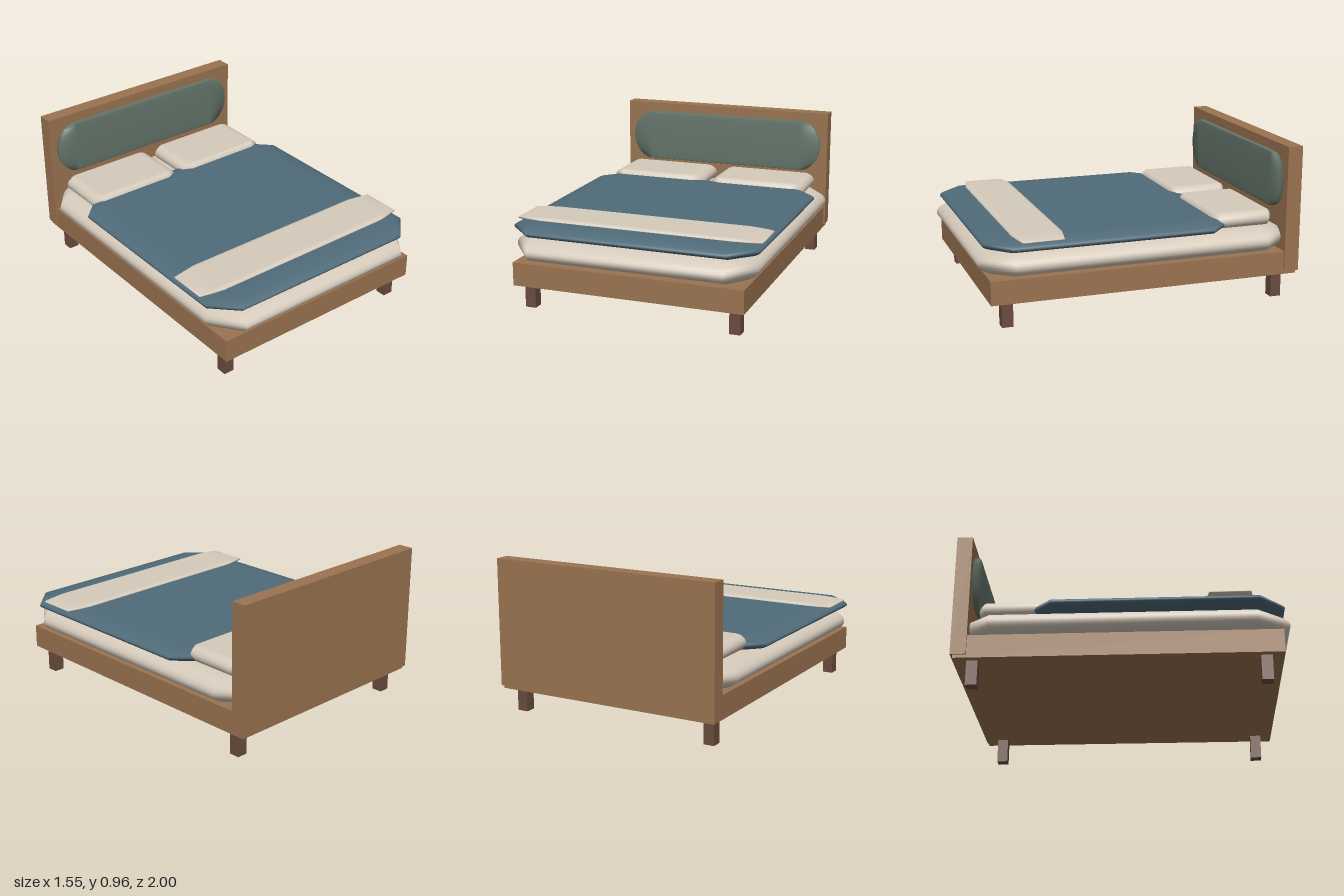
import * as THREE from 'three';
import { mergeVertices } from 'three/addons/utils/BufferGeometryUtils.js';

const mat = (name, color) => new THREE.MeshStandardMaterial({ name, color });

// Soft slab filling the given ranges: elliptical edge profile, chamfered plan corners
function cushionGeometry([x0, x1], [y0, y1], [z0, z1]) {
  const steps = 16, inset = 0.1, pos = [], idx = [];
  const signs = [[1, 1], [-1, 1], [-1, -1], [1, -1]];
  for (let i = 0; i <= steps; i++) {
    const t = (i / steps - 0.5) * Math.PI;
    const r = inset * Math.cos(t);
    signs.forEach(([sx, sz], q) => {
      for (let k = 0; k < 2; k++) {
        const a = (q + k) * Math.PI / 2;
        pos.push(
          sx * (0.5 - inset) + r * Math.cos(a),
          0.5 * Math.sin(t),
          sz * (0.5 - inset) + r * Math.sin(a)
        );
      }
    });
  }
  for (let i = 0; i < steps; i++) {
    for (let j = 0; j < 8; j++) {
      const a = i * 8 + j, b = i * 8 + (j + 1) % 8;
      idx.push(a, a + 8, b, b, a + 8, b + 8);
    }
  }
  // bottom and top faces
  const top = steps * 8;
  for (let j = 1; j < 7; j++) idx.push(0, j, j + 1, top, top + j + 1, top + j);

  const g = new THREE.BufferGeometry();
  g.setAttribute('position', new THREE.Float32BufferAttribute(pos, 3));
  g.setIndex(idx);
  g.scale(x1 - x0, y1 - y0, z1 - z0);
  g.translate((x0 + x1) / 2, (y0 + y1) / 2, (z0 + z1) / 2);
  const merged = mergeVertices(g, 1e-5);
  merged.computeVertexNormals();
  return merged;
}

function boxGeometry([x0, x1], [y0, y1], [z0, z1]) {
  const g = new THREE.BoxGeometry(x1 - x0, y1 - y0, z1 - z0);
  g.translate((x0 + x1) / 2, (y0 + y1) / 2, (z0 + z1) / 2);
  return g;
}

export function createModel() {
  const bed = new THREE.Group();
  bed.name = 'bed';
  const wood = mat('wood', 0x9b7451);
  const darkWood = mat('darkWood', 0x6b4c3e);
  const linen = mat('linen', 0xd6cbbc);
  const blue = mat('blueFabric', 0x506b79);
  const green = mat('greenFabric', 0x64756a);

  const add = (name, geometry, material) => {
    const mesh = new THREE.Mesh(geometry, material);
    mesh.name = name;
    bed.add(mesh);
  };

  // Timber base and headboard
  add('bedFrame', boxGeometry([-0.725, 0.725], [0.155, 0.3], [-0.985, 0.95]), wood);
  add('headboard', boxGeometry([-0.735, 0.735], [0.175, 0.96], [-1, -0.905]), wood);
  add('headboardPanel', cushionGeometry([-0.685, 0.685], [0.557, 0.9], [-0.94, -0.87]), green);

  // Four legs
  for (const side of [-1, 1]) {
    for (const [end, z] of [['front', 0.845], ['back', -0.875]]) {
      const x = side * 0.65;
      add(`${end}${side > 0 ? 'Left' : 'Right'}Leg`,
        boxGeometry([x - 0.034, x + 0.034], [0, 0.16], [z - 0.034, z + 0.034]), darkWood);
    }
  }

  // Bedding
  add('mattress', cushionGeometry([-0.765, 0.765], [0.298, 0.455], [-0.98, 1]), linen);
  add('quilt', cushionGeometry([-0.775, 0.775], [0.45, 0.528], [-0.57, 0.972]), blue);
  add('throwBlanket', cushionGeometry([-0.775, 0.775], [0.512, 0.543], [0.49, 0.797]), linen);
  add('leftPillow', cushionGeometry([0.03, 0.67], [0.455, 0.555], [-0.86, -0.46]), linen);
  add('rightPillow', cushionGeometry([-0.675, -0.035], [0.455, 0.555], [-0.86, -0.46]), linen);
  return bed;
}
